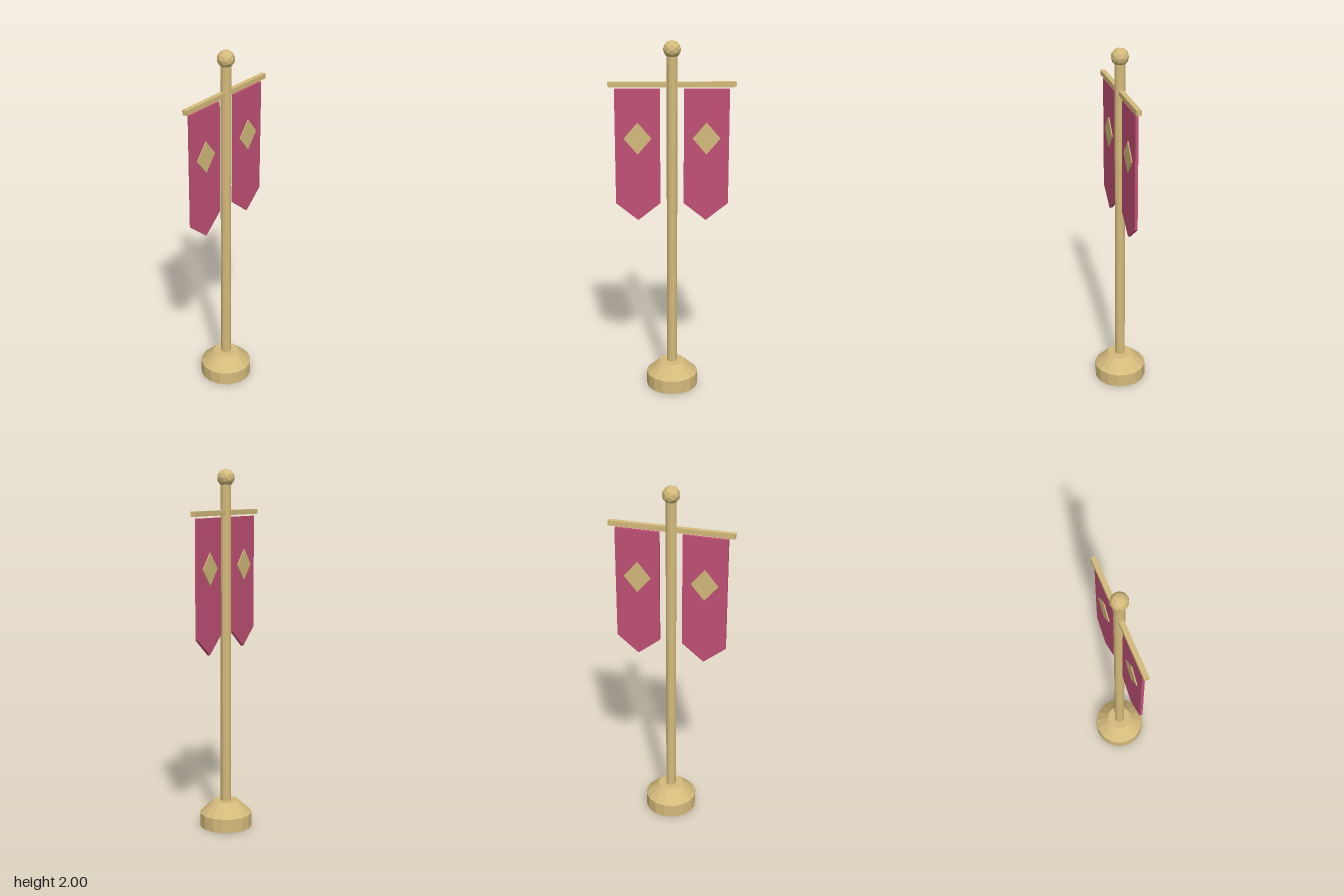
import * as THREE from 'three';

export function createModel() {
  const group = new THREE.Group();
  const brass = new THREE.MeshStandardMaterial({ color: 0xd4ba7b, flatShading: true });
  brass.name = 'brass';
  const cloth = new THREE.MeshStandardMaterial({ color: 0xc25177, flatShading: true });
  cloth.name = 'crimson cloth';

  const add = (name, geometry, material, x = 0, y = 0, z = 0) => {
    const mesh = new THREE.Mesh(geometry, material);
    mesh.name = name;
    mesh.position.set(x, y, z);
    group.add(mesh);
    return mesh;
  };

  // Flat outline thickened evenly about z = 0
  const slab = (points, depth) => {
    const shape = new THREE.Shape(points.map(([x, y]) => new THREE.Vector2(x, y)));
    return new THREE.ExtrudeGeometry(shape, { depth, bevelEnabled: false }).translate(0, 0, -depth / 2);
  };

  // Base: a drum with a sloped shoulder
  const profile = [[0, 0], [0.147, 0], [0.147, 0.078], [0.073, 0.147], [0, 0.147]];
  add('base', new THREE.LatheGeometry(profile.map(([r, y]) => new THREE.Vector2(r, y)), 16), brass);

  // Pole, finial ball and crossbar
  add('pole', new THREE.CylinderGeometry(0.029, 0.029, 1.79, 12), brass, 0, 1.035);
  add('finial', new THREE.IcosahedronGeometry(0.048, 1), brass, 0, 1.953);
  add('crossbar', new THREE.BoxGeometry(0.684, 0.027, 0.027), brass, 0, 1.767);

  // Pointed banners, each with a diamond that stands proud on both faces
  const bannerOutline = [[-0.122, 0.635], [-0.122, 0], [0, -0.098], [0.122, 0], [0.122, 0.635]];
  const diamondOutline = [[0, 0.088], [-0.075, 0], [0, -0.088], [0.075, 0]];
  for (const [side, s] of [['left', 1], ['right', -1]]) {
    add(`${side}Banner`, slab(bannerOutline, 0.016), cloth, s * 0.186, 1.108);
    add(`${side}Diamond`, slab(diamondOutline, 0.026), brass, s * 0.186, 1.474);
  }
  return group;
}
